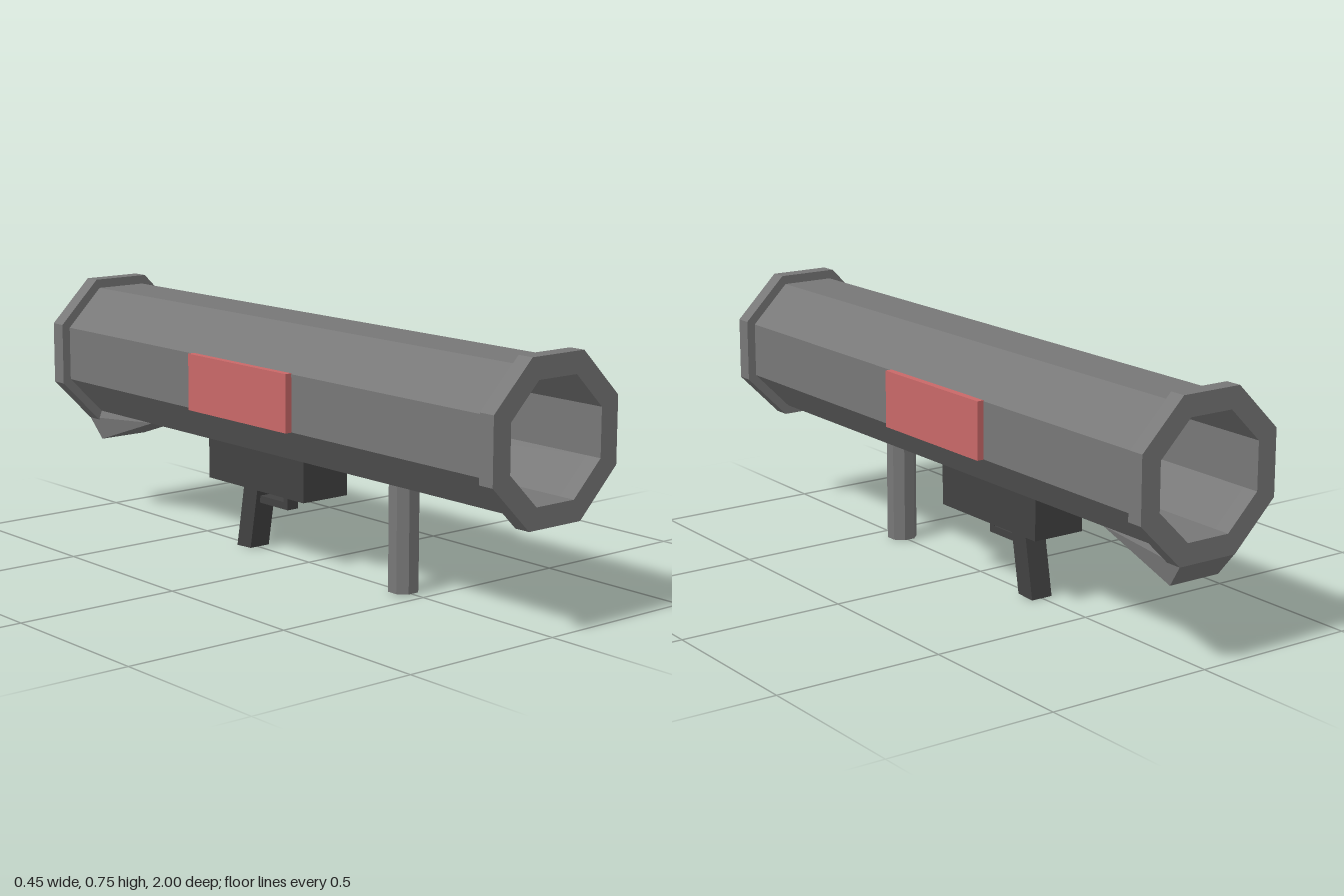
import * as THREE from 'three';
import { ConvexGeometry } from 'three/addons/geometries/ConvexGeometry.js';

const AXIS_Y = 0.526;

function material(name, color) {
  const m = new THREE.MeshStandardMaterial({ color });
  m.name = name;
  return m;
}

// Corners of an octagon with flat sides up, down, left and right
function octagon(apothem) {
  const r = apothem / Math.cos(Math.PI / 8);
  return Array.from({ length: 8 }, (_, i) => {
    const a = (i + 0.5) * Math.PI / 4;
    return new THREE.Vector2(r * Math.cos(a), r * Math.sin(a));
  });
}

export function createModel() {
  const model = new THREE.Group();
  model.name = 'shoulderLauncher';
  const grey = material('tubeGrey', 0x777777);
  const dark = material('gripDarkGrey', 0x424242);
  const red = material('panelRed', 0xc96868);

  function add(name, geometry, mat, x = 0, y = 0, z = 0) {
    const mesh = new THREE.Mesh(geometry, mat);
    mesh.name = name;
    mesh.position.set(x, y, z);
    model.add(mesh);
    return mesh;
  }

  // Hollow octagonal barrel with a wider collar at each end
  function ring(apothem, length) {
    const shape = new THREE.Shape(octagon(apothem));
    shape.holes.push(new THREE.Path(octagon(0.166).reverse()));
    return new THREE.ExtrudeGeometry(shape, { depth: length, bevelEnabled: false });
  }
  add('barrel', ring(0.2, 1.9), grey, 0, AXIS_Y, -0.95);
  add('frontCollar', ring(0.227, 0.05), grey, 0, AXIS_Y, 0.95);
  add('rearCollar', ring(0.227, 0.05), grey, 0, AXIS_Y, -1);

  // Side panels
  for (const [name, side] of [['leftPanel', 1], ['rightPanel', -1]]) {
    add(name, new THREE.BoxGeometry(0.022, 0.169, 0.455), red, side * 0.21, 0.527, -0.063);
  }

  // Front support post
  const post = new THREE.CylinderGeometry(0.0455, 0.0455, 0.327, 8).toNonIndexed();
  post.rotateY(Math.PI / 8);
  post.computeVertexNormals();
  add('frontPost', post, grey, 0, 0.1665, 0.417);

  // Trigger housing
  add('triggerHousing', new THREE.BoxGeometry(0.166, 0.125, 0.45), dark, 0, 0.2675, -0.15);

  // Side profile given as [z, y], extruded across x
  function sideProfile(points, width) {
    const shape = new THREE.Shape(points.map(([z, y]) => new THREE.Vector2(-z, y)));
    const geo = new THREE.ExtrudeGeometry(shape, { depth: width, bevelEnabled: false });
    geo.translate(0, 0, -width / 2);
    return geo.rotateY(Math.PI / 2);
  }

  // Slanted pistol grip
  add('pistolGrip', sideProfile([[-0.197, 0.21], [-0.235, 0.003], [-0.3, 0], [-0.262, 0.21]], 0.07), dark);

  // Trigger guard
  add('triggerGuard', sideProfile([
    [-0.075, 0.208], [-0.075, 0.147], [-0.215, 0.147], [-0.215, 0.169],
    [-0.095, 0.169], [-0.095, 0.208],
  ], 0.04), dark);

  // Rear wedge under the barrel
  const wedge = [];
  for (const s of [-1, 1]) {
    wedge.push(
      new THREE.Vector3(s * 0.083, 0.328, -0.67),
      new THREE.Vector3(s * 0.083, 0.328, -0.95),
      new THREE.Vector3(s * 0.083, 0.234, -0.95),
      new THREE.Vector3(s * 0.094, 0.3, -1),
    );
  }
  add('rearWedge', new ConvexGeometry(wedge), grey);

  return model;
}
